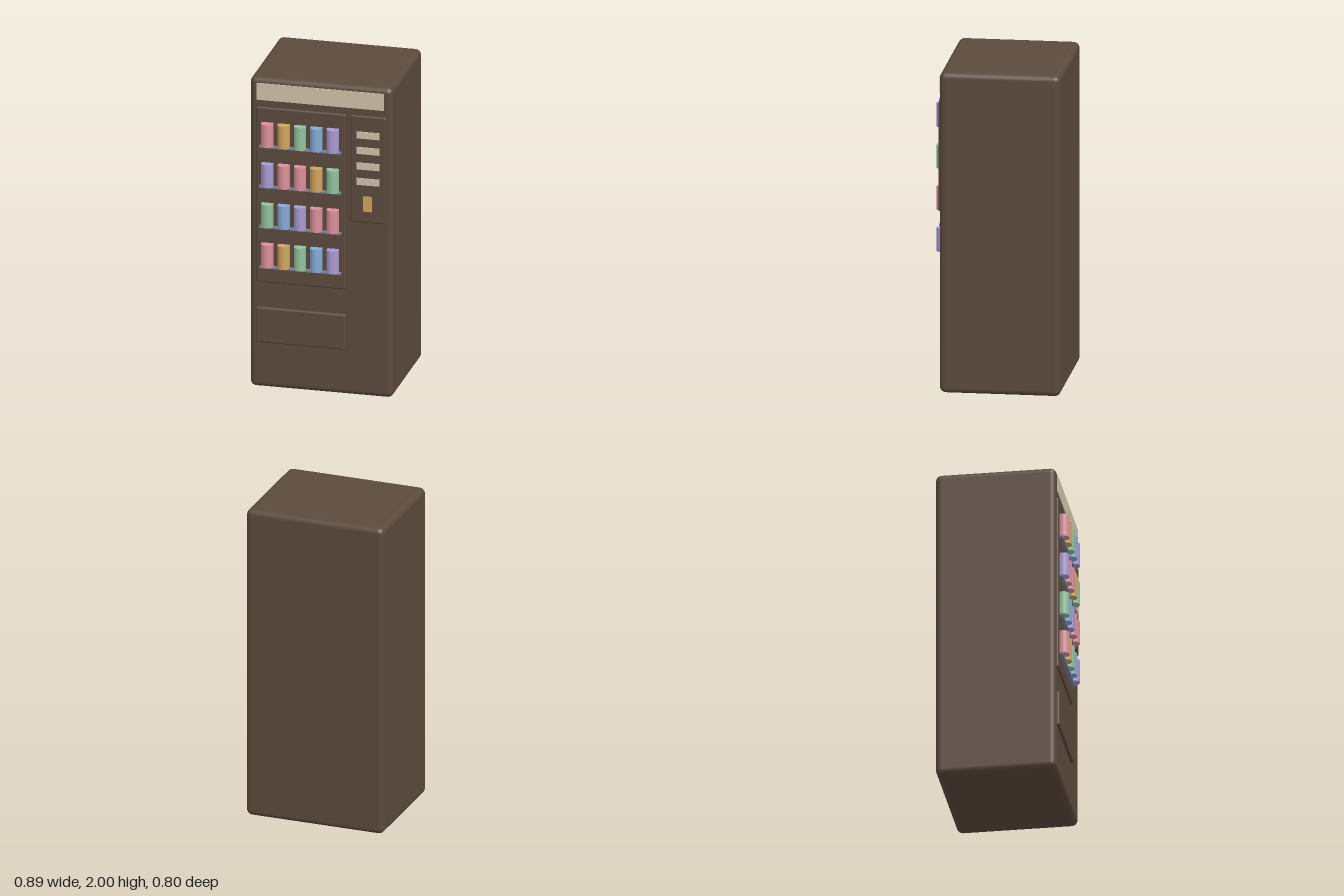
import * as THREE from 'three';
import { RoundedBoxGeometry } from 'three/addons/geometries/RoundedBoxGeometry.js';

export function createModel() {
  const root = new THREE.Group();
  root.name = 'vendingMachine';

  const mat = (name, color) => {
    const m = new THREE.MeshStandardMaterial({ color });
    m.name = name;
    return m;
  };
  const brown = mat('brown', 0x5c4a3d);
  const cream = mat('cream', 0xd0c3a8);
  const amber = mat('amber', 0xd0a45f);
  const steel = mat('steel', 0x7f8499);
  const pink = mat('pink', 0xdb8f9b);
  const green = mat('green', 0x92c29c);
  const blue = mat('blue', 0x84aad6);
  const violet = mat('violet', 0xa999d3);

  // Box given by its limits; a radius above zero rounds the edges
  const box = (name, material, x0, x1, y0, y1, z0, z1, r = 0) => {
    const w = x1 - x0, h = y1 - y0, d = z1 - z0;
    const geo = r > 0 ? new RoundedBoxGeometry(w, h, d, 4, r) : new THREE.BoxGeometry(w, h, d);
    const mesh = new THREE.Mesh(geo, material);
    mesh.name = name;
    mesh.position.set((x0 + x1) / 2, (y0 + y1) / 2, (z0 + z1) / 2);
    root.add(mesh);
    return mesh;
  };

  // Cabinet and front panels
  box('cabinet', brown, -0.445, 0.445, 0, 2, -0.402, 0.335, 0.036);
  box('displayPanel', brown, -0.405, 0.156, 0.682, 1.815, 0.31, 0.347, 0.012);
  box('controlPanel', brown, 0.183, 0.409, 1.124, 1.815, 0.31, 0.345, 0.012);
  box('pickupFlap', brown, -0.405, 0.156, 0.294, 0.523, 0.31, 0.353, 0.012);
  box('headerSign', cream, -0.4, 0.393, 1.858, 1.966, 0.331, 0.34);

  // Selection buttons and coin slot
  for (let i = 0; i < 4; i++) {
    const y = 1.692 - i * 0.1;
    box('button', cream, 0.225, 0.367, y - 0.022, y + 0.022, 0.342, 0.351);
  }
  box('coinSlot', amber, 0.266, 0.32, 1.2, 1.298, 0.342, 0.351);

  // Shelves with rows of cans, top row first
  const rows = [
    [pink, amber, green, blue, violet],
    [violet, pink, pink, amber, green],
    [green, blue, violet, pink, pink],
    [pink, amber, green, blue, violet],
  ];
  const canGeo = new THREE.CylinderGeometry(0.0375, 0.0375, 0.147, 32);
  rows.forEach((row, r) => {
    const y = 1.574 - r * 0.2595;
    box('shelf', steel, -0.377, 0.13, y - 0.013, y, 0.33, 0.368);
    row.forEach((material, c) => {
      const can = new THREE.Mesh(canGeo, material);
      can.name = 'can';
      can.position.set(-0.328 + c * 0.102, y + 0.0735, 0.364);
      root.add(can);
    });
  });

  return root;
}
